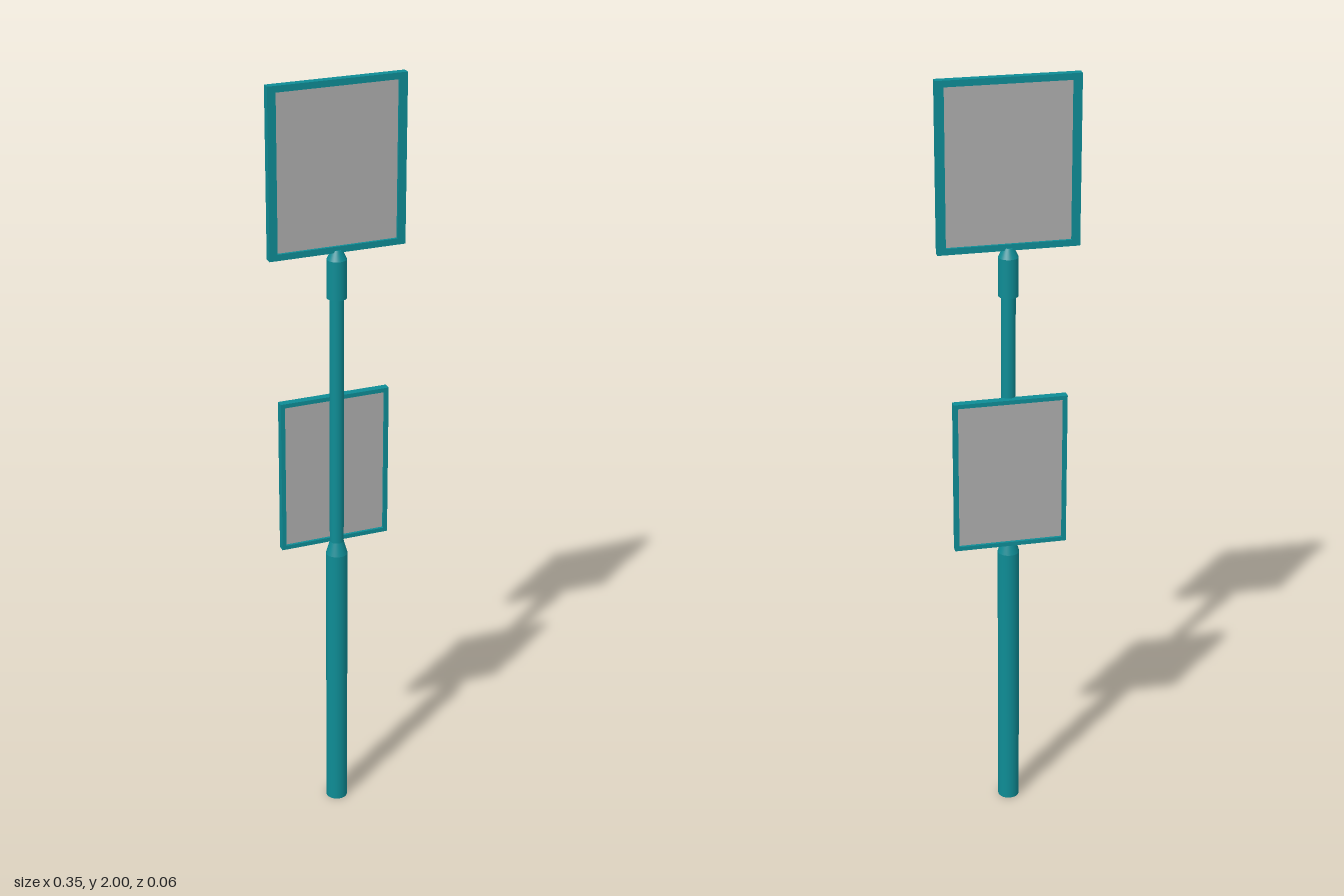
import * as THREE from 'three';

const teal = new THREE.MeshStandardMaterial({ color: 0x0e8c95 });
teal.name = 'teal paint';
const grey = new THREE.MeshStandardMaterial({ color: 0xacacac });
grey.name = 'grey panel';

function add(parent, name, geometry, material) {
  const mesh = new THREE.Mesh(geometry, material);
  mesh.name = name;
  parent.add(mesh);
  return mesh;
}

// Round section from y0 to y1
function tube(parent, name, y0, y1, r0, r1) {
  add(parent, name, new THREE.CylinderGeometry(r1, r0, y1 - y0, 32), teal).position.y = (y0 + y1) / 2;
}

// Framed sign: a hollow rectangular frame with a recessed plate showing on both sides
function framedSign(name, w, h, bx, by, y, z) {
  const sign = new THREE.Group();
  sign.name = name;
  const depth = 0.02;
  const rect = (path, a, b) => path.moveTo(-a, -b).lineTo(a, -b).lineTo(a, b).lineTo(-a, b).closePath();
  const shape = rect(new THREE.Shape(), w / 2, h / 2);
  shape.holes.push(rect(new THREE.Path(), w / 2 - bx, h / 2 - by));
  const frame = new THREE.ExtrudeGeometry(shape, { depth, bevelEnabled: false });
  add(sign, name + 'Frame', frame.translate(0, 0, -depth / 2), teal);
  add(sign, name + 'Plate', new THREE.BoxGeometry(w - 2 * bx, h - 2 * by, 0.006), grey);
  sign.position.set(0, y, z);
  return sign;
}

export function createModel() {
  const model = new THREE.Group();
  model.name = 'signPost';

  // Stepped post
  tube(model, 'lowerPost', 0, 0.75, 0.028, 0.028);
  tube(model, 'lowerTaper', 0.75, 0.785, 0.028, 0.018);
  tube(model, 'upperPost', 0.785, 1.46, 0.018, 0.018);
  tube(model, 'sleeve', 1.455, 1.555, 0.025, 0.025);
  tube(model, 'sleeveTaper', 1.555, 1.58, 0.025, 0.013);

  // Signs: large one on top, smaller one behind the post
  model.add(framedSign('topSign', 0.352, 0.426, 0.021, 0.016, 1.787, 0));
  model.add(framedSign('lowerSign', 0.29, 0.408, 0.011, 0.011, 0.984, -0.02));
  return model;
}
